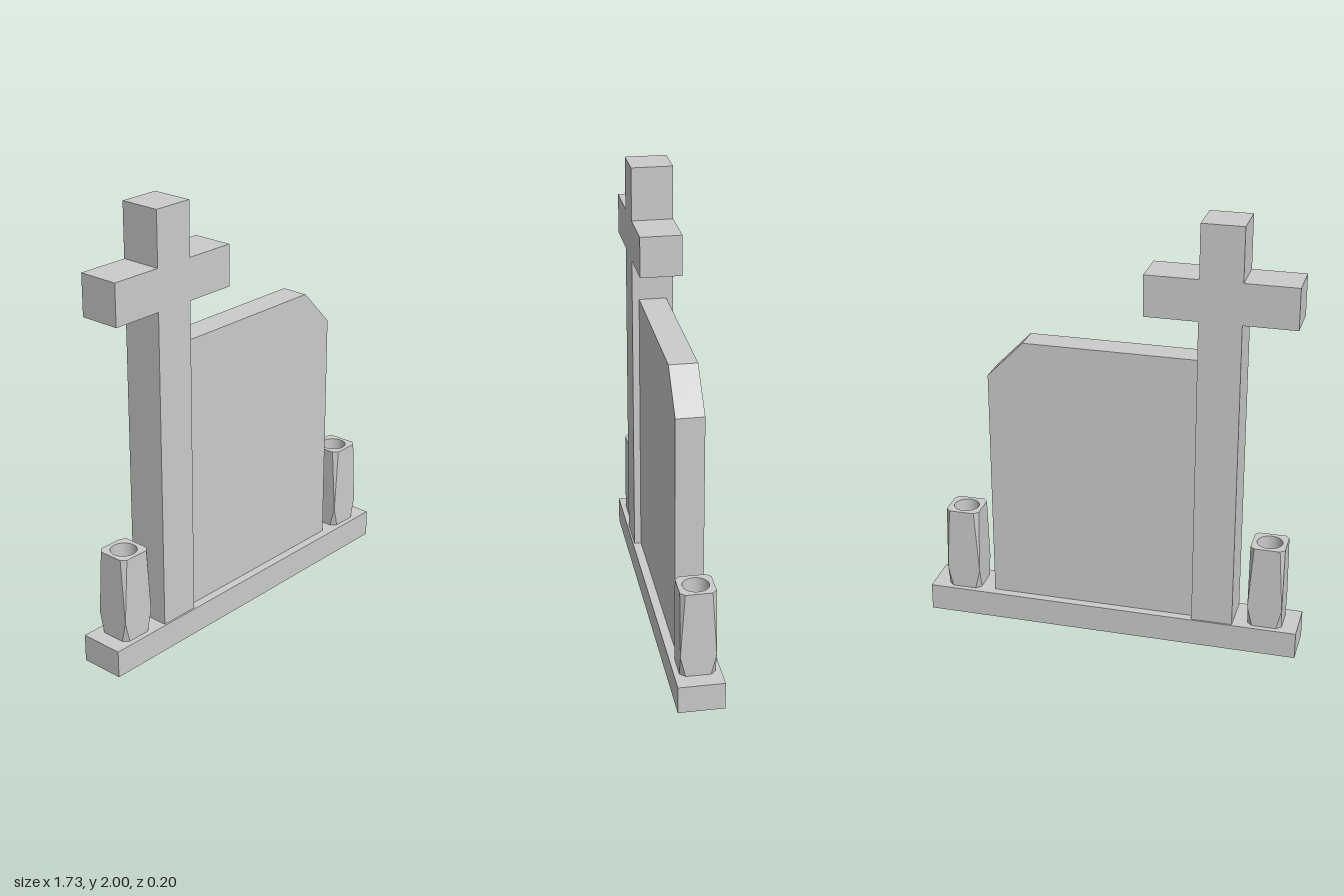
import * as THREE from 'three';

const material = new THREE.MeshStandardMaterial({ color: 0xcccccc, flatShading: true });
const smooth = new THREE.MeshStandardMaterial({ color: 0xcccccc, side: THREE.DoubleSide });

const BASE_TOP = 0.125;

function addMesh(parent, name, geometry, mat = material) {
  const mesh = new THREE.Mesh(geometry, mat);
  mesh.name = name;
  parent.add(mesh);
  return mesh;
}

// Upright prism with its outline in x and y, centred on z = 0
function slab(outline, depth) {
  const shape = new THREE.Shape(outline.map(([x, y]) => new THREE.Vector2(x, y)));
  return new THREE.ExtrudeGeometry(shape, { depth, bevelEnabled: false }).translate(0, 0, -depth / 2);
}

// Square of half width h with its corners cut back by c
function cutSquare(h, c) {
  const k = h - c;
  return [[h, -k], [h, k], [k, h], [-k, h], [-h, k], [-h, -k], [-k, -h], [k, -h]];
}

// Square vase whose corner cuts narrow to a point below mid height
function createVase(name, x) {
  const vase = new THREE.Group();
  vase.name = name;
  const half = 0.078, height = 0.395, bore = 0.058, boreDepth = 0.25;
  const levels = [[0, 0.023], [0.095, 0], [height, 0.02]];

  const positions = [];
  for (let l = 0; l < levels.length - 1; l++) {
    const [y0, c0] = levels[l], [y1, c1] = levels[l + 1];
    const low = cutSquare(half, c0), high = cutSquare(half, c1);
    for (let i = 0; i < 8; i++) {
      const j = (i + 1) % 8;
      const a = [low[i][0], y0, low[i][1]], b = [high[i][0], y1, high[i][1]];
      const c = [high[j][0], y1, high[j][1]], d = [low[j][0], y0, low[j][1]];
      const corner = i % 2 === 1;
      // Corner cuts are single triangles, the flat sides are quads
      if (!corner || c1 > 0) positions.push(...a, ...b, ...c);
      if (!corner || c0 > 0) positions.push(...a, ...c, ...d);
    }
  }
  const body = new THREE.BufferGeometry();
  body.setAttribute('position', new THREE.Float32BufferAttribute(positions, 3));
  body.computeVertexNormals();
  addMesh(vase, 'vaseBody', body);

  // Rim with a round opening
  const rim = new THREE.Shape(cutSquare(half, 0.02).map(([px, py]) => new THREE.Vector2(px, py)));
  rim.holes.push(new THREE.Path().absarc(0, 0, bore, 0, Math.PI * 2, true));
  addMesh(vase, 'vaseRim', new THREE.ShapeGeometry(rim, 16).rotateX(-Math.PI / 2).translate(0, height, 0));

  // Inner wall and floor of the opening
  const wall = new THREE.CylinderGeometry(bore, bore, boreDepth, 32, 1, true);
  addMesh(vase, 'vaseInnerWall', wall.translate(0, height - boreDepth / 2, 0), smooth);
  const floor = new THREE.CircleGeometry(bore, 32).rotateX(-Math.PI / 2);
  addMesh(vase, 'vaseInnerFloor', floor.translate(0, height - boreDepth, 0));

  vase.position.set(x, BASE_TOP, 0);
  return vase;
}

export function createModel() {
  const model = new THREE.Group();
  model.name = 'gravestone';

  // Plinth
  addMesh(model, 'base', new THREE.BoxGeometry(1.732, BASE_TOP, 0.204).translate(0, BASE_TOP / 2, 0));

  // Tall cross on the right of the stone
  const [pl, pr, al, ar, ay0, ay1] = [-0.573, -0.386, -0.81, -0.148, 1.572, 1.758];
  addMesh(model, 'cross', slab([
    [pl, BASE_TOP], [pr, BASE_TOP], [pr, ay0], [ar, ay0], [ar, ay1], [pr, ay1],
    [pr, 2], [pl, 2], [pl, ay1], [al, ay1], [al, ay0], [pl, ay0],
  ], 0.188));

  // Headstone with one cut corner
  addMesh(model, 'headstone', slab([
    [pr, BASE_TOP], [0.563, BASE_TOP], [0.563, 1.215], [0.398, 1.385], [pr, 1.385],
  ], 0.125));

  model.add(createVase('rightVase', -0.717), createVase('leftVase', 0.71));
  return model;
}
